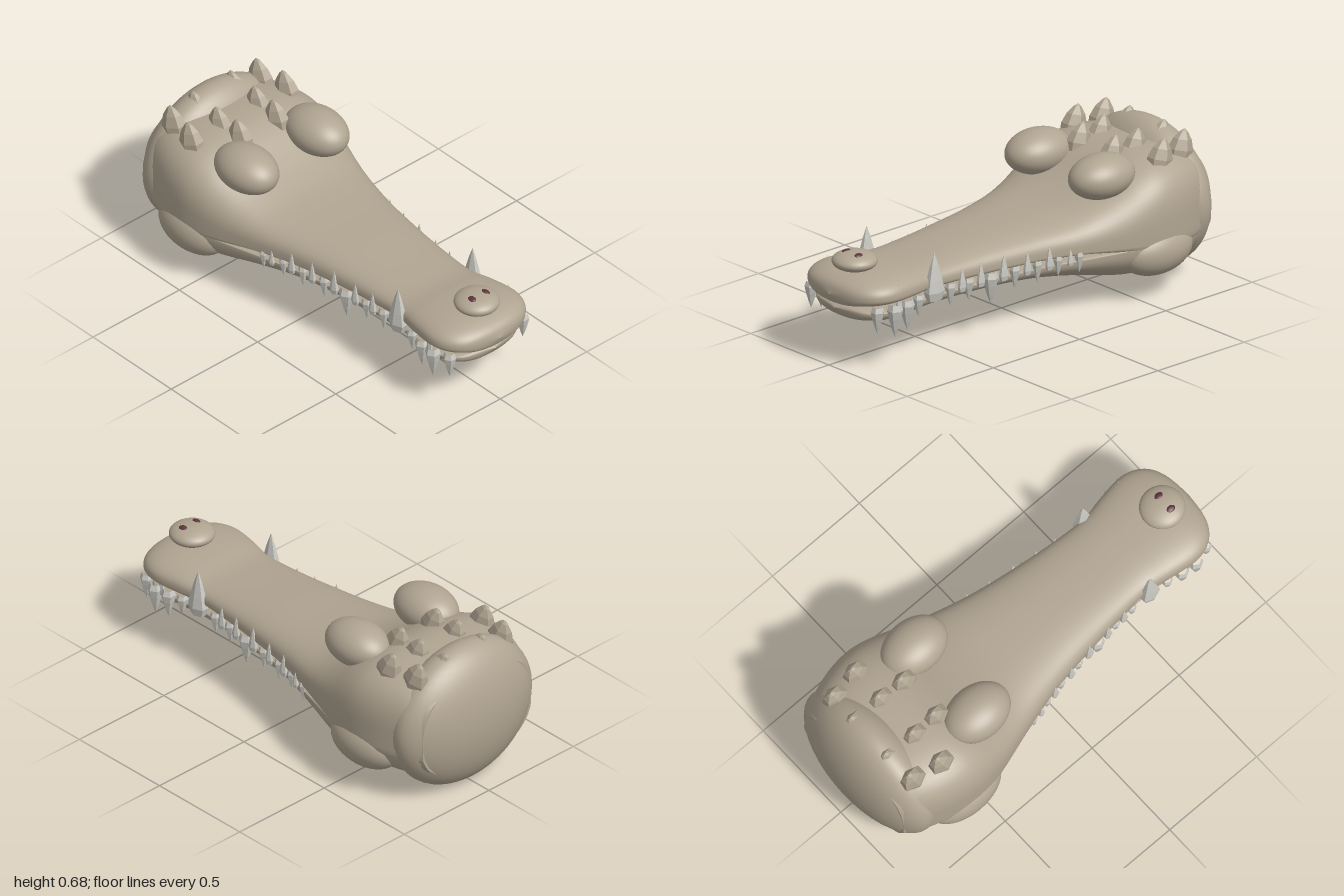
import * as THREE from 'three';

const skin = new THREE.MeshStandardMaterial({ color: 0xb0a491 });
skin.name = 'skin';
const ivory = new THREE.MeshStandardMaterial({ color: 0xc9c8c1, flatShading: true });
ivory.name = 'ivory';
const hornSkin = new THREE.MeshStandardMaterial({ color: 0xb0a491, flatShading: true });
hornSkin.name = 'faceted skin';
const nostrilRed = new THREE.MeshStandardMaterial({ color: 0x5e333c });
nostrilRed.name = 'nostril';

// Jaw stations: x, half width, top y, bottom y, height of widest point, squareness
const upperRows = [
  [-0.925, 0.32, 0.56, 0.2, 0.28, 3.4],
  [-0.84, 0.365, 0.6, 0.2, 0.28, 3.6],
  [-0.72, 0.405, 0.615, 0.2, 0.28, 3.6],
  [-0.6, 0.42, 0.612, 0.2, 0.28, 3.5],
  [-0.5, 0.412, 0.58, 0.22, 0.28, 3.3],
  [-0.4, 0.39, 0.525, 0.24, 0.285, 3.1],
  [-0.3, 0.36, 0.478, 0.26, 0.29, 3],
  [-0.18, 0.325, 0.443, 0.275, 0.3, 2.9],
  [0, 0.28, 0.426, 0.28, 0.31, 2.8],
  [0.2, 0.248, 0.416, 0.283, 0.315, 2.7],
  [0.4, 0.225, 0.403, 0.285, 0.32, 2.7],
  [0.58, 0.215, 0.396, 0.286, 0.325, 2.7],
  [0.7, 0.235, 0.41, 0.286, 0.33, 2.7],
  [0.82, 0.25, 0.416, 0.286, 0.335, 2.6],
  [0.9, 0.232, 0.41, 0.286, 0.335, 2.5],
  [0.955, 0.185, 0.393, 0.286, 0.335, 2.4],
  [0.985, 0.115, 0.37, 0.292, 0.33, 2.3],
  [1, 0.003, 0.332, 0.328, 0.33, 2],
];
const lowerRows = [
  [-0.925, 0.32, 0.33, 0.1, 0.3, 2.3],
  [-0.84, 0.365, 0.33, 0.075, 0.29, 2.3],
  [-0.7, 0.405, 0.33, 0.066, 0.28, 2.3],
  [-0.6, 0.42, 0.32, 0.065, 0.275, 2.3],
  [-0.5, 0.41, 0.31, 0.07, 0.27, 2.3],
  [-0.4, 0.385, 0.29, 0.087, 0.265, 2.3],
  [-0.2, 0.322, 0.28, 0.137, 0.26, 2.3],
  [0, 0.268, 0.278, 0.173, 0.26, 2.3],
  [0.2, 0.236, 0.278, 0.191, 0.26, 2.3],
  [0.4, 0.213, 0.278, 0.197, 0.26, 2.3],
  [0.58, 0.203, 0.278, 0.195, 0.26, 2.3],
  [0.8, 0.22, 0.278, 0.195, 0.26, 2.3],
  [0.88, 0.2, 0.278, 0.201, 0.26, 2.3],
  [0.94, 0.14, 0.278, 0.218, 0.26, 2.2],
  [0.97, 0.003, 0.262, 0.258, 0.26, 2],
];

// Smooth skin through superellipse sections, with a flat cap at the back
function loft(rows, steps = 70, ring = 56) {
  const a = new THREE.CatmullRomCurve3(rows.map(r => new THREE.Vector3(r[0], r[1], r[2])), false, 'catmullrom');
  const b = new THREE.CatmullRomCurve3(rows.map(r => new THREE.Vector3(r[3], r[4], r[5])), false, 'catmullrom');
  const pos = [], idx = [];
  const power = (v, n) => Math.sign(v) * Math.pow(Math.abs(v), 2 / n);
  const addRing = t => {
    const p = a.getPoint(t), q = b.getPoint(t);
    for (let j = 0; j < ring; j++) {
      const ang = (j / ring) * Math.PI * 2;
      const s = power(Math.sin(ang), q.z);
      const y = q.y + s * (s > 0 ? p.z - q.y : q.y - q.x);
      pos.push(p.x, y, p.y * power(Math.cos(ang), q.z));
    }
  };
  for (let i = 0; i <= steps; i++) addRing(i / steps);
  for (let i = 0; i < steps; i++) {
    for (let j = 0; j < ring; j++) {
      const k = (j + 1) % ring, m = i * ring, n = m + ring;
      idx.push(m + j, n + j, n + k, m + j, n + k, m + k);
    }
  }
  const base = pos.length / 3;
  addRing(0);
  pos.push(rows[0][0], rows[0][4], 0);
  for (let j = 0; j < ring; j++) idx.push(base + ring, base + j, base + (j + 1) % ring);
  const g = new THREE.BufferGeometry();
  g.setAttribute('position', new THREE.Float32BufferAttribute(pos, 3));
  g.setIndex(idx);
  g.computeVertexNormals();
  return g;
}

// Half width of a jaw at x
function halfWidth(rows, x) {
  const i = rows.findIndex(r => r[0] >= x);
  const p = rows[i - 1], q = rows[i];
  return THREE.MathUtils.mapLinear(x, p[0], q[0], p[1], q[1]);
}

// Six-sided bulging spike of unit radius and height
const spike = new THREE.LatheGeometry(
  [[0.75, 0], [1, 0.18], [0.78, 0.42], [0.4, 0.74], [0, 1]].map(p => new THREE.Vector2(...p)), 6);
const hornShape = new THREE.LatheGeometry(
  [[0.95, 0], [1, 0.3], [0.72, 0.65], [0.3, 0.9], [0, 1]].map(p => new THREE.Vector2(...p)), 6);
const ball = new THREE.SphereGeometry(1, 40, 28);

export function createModel() {
  const root = new THREE.Group();
  root.name = 'reptileHead';
  const add = (name, geo, mat, p = [0, 0, 0], s = [1, 1, 1], r = [0, 0, 0]) => {
    const m = new THREE.Mesh(geo, mat);
    m.name = name;
    m.position.set(...p);
    m.scale.set(...s);
    m.rotation.set(...r);
    root.add(m);
  };

  // Jaws, back of skull and nose
  add('upperJaw', loft(upperRows), skin);
  add('lowerJaw', loft(lowerRows), skin);
  add('skullBack', ball, skin, [-0.83, 0.338, 0], [0.17, 0.337, 0.385]);
  add('nose', ball, skin, [0.85, 0.445, 0], [0.1, 0.042, 0.1]);

  // Teeth: x, tip height, radius
  const upperTeeth = [[-0.17, 0.21, 0.02], [-0.07, 0.21, 0.02], [0.03, 0.2, 0.022], [0.145, 0.2, 0.024],
    [0.27, 0.157, 0.036], [0.385, 0.2, 0.025], [0.485, 0.2, 0.025], [0.68, 0.205, 0.026],
    [0.755, 0.165, 0.034], [0.83, 0.152, 0.036], [0.91, 0.18, 0.03]];
  const lowerTeeth = [[-0.12, 0.33, 0.017], [-0.02, 0.362, 0.021], [0.09, 0.362, 0.021], [0.21, 0.376, 0.024],
    [0.33, 0.365, 0.022], [0.43, 0.365, 0.022], [0.585, 0.472, 0.052], [0.8, 0.39, 0.016]];
  // Horns on the crown: x, z
  const horns = [[-0.8, 0.25], [-0.66, 0.275], [-0.81, 0.11], [-0.66, 0.11], [-0.535, 0.105]];

  for (const side of [1, -1]) {
    const tag = side > 0 ? 'Left' : 'Right';
    add('eye' + tag, ball, skin, [-0.397, 0.565, side * 0.203], [0.163, 0.098, 0.12]);
    add('cheek' + tag, ball, skin, [-0.59, 0.218, side * 0.337], [0.19, 0.113, 0.107]);
    add('nostril' + tag, ball, nostrilRed, [0.863, 0.479, side * 0.04], [0.022, 0.009, 0.016], [side * 0.3, 0, 0]);

    for (const [x, tip, r] of upperTeeth) {
      const z = halfWidth(upperRows, x) - 0.012;
      add('upperTooth' + tag, spike, ivory, [x, 0.305, side * z], [r, 0.305 - tip, r], [Math.PI, 0, 0]);
    }
    for (const [x, tip, r] of lowerTeeth) {
      const z = halfWidth(upperRows, x) - (x > 0.7 ? 0.02 : 0);
      add('lowerTooth' + tag, spike, ivory, [x, 0.255, side * z], [r, tip - 0.255, r * 0.65]);
    }
    for (const [x, z] of horns) {
      add('horn' + tag, hornShape, hornSkin, [x, 0.555, side * z], [0.065, 0.132, 0.045], [0, 0, 0.28]);
    }
  }
  return root;
}
